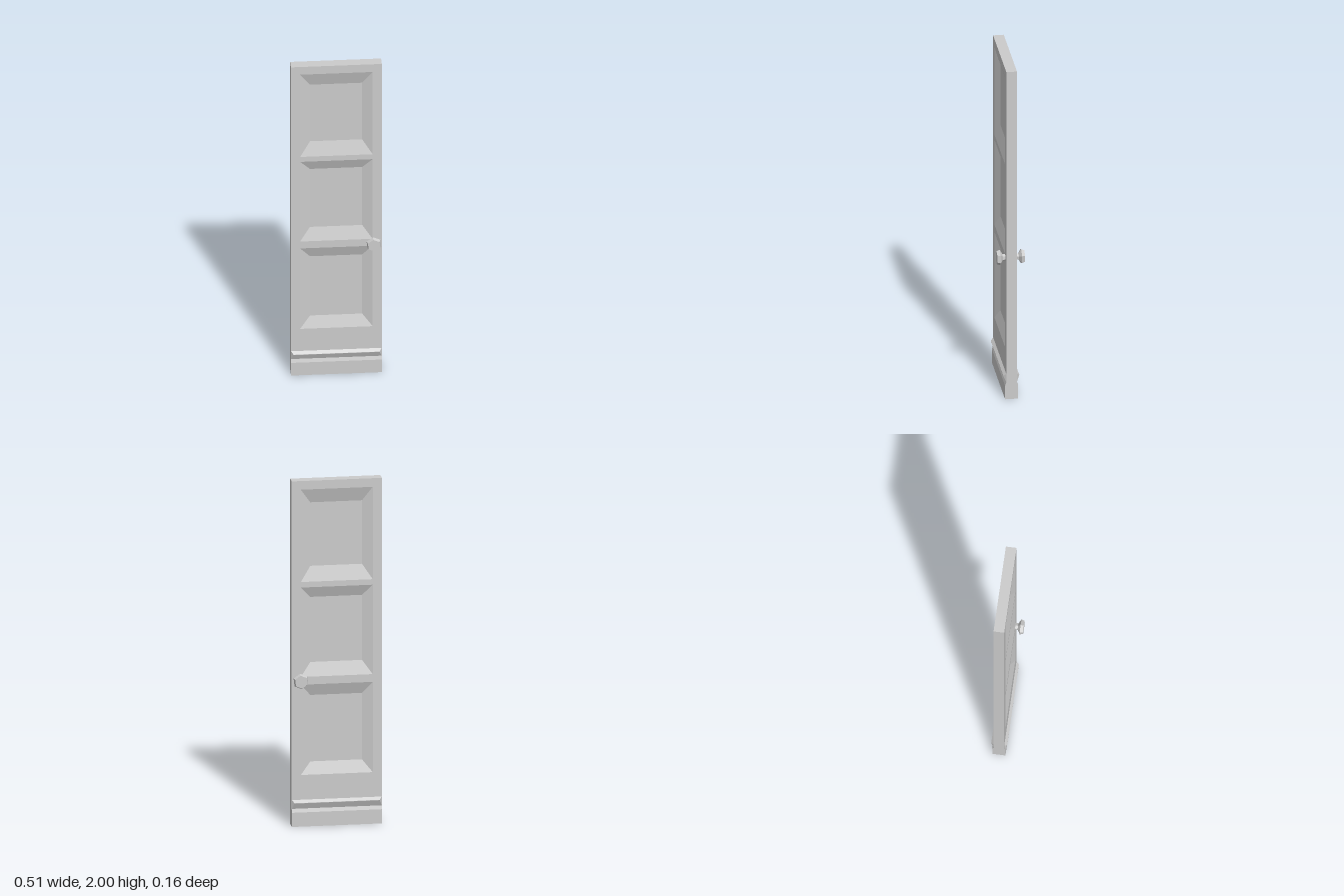
import * as THREE from 'three';

const W = 0.2545, T = 0.03, H = 2, BASE = 0.1; // half width, half thickness, height, slab bottom
const material = new THREE.MeshStandardMaterial({ color: 0xcccccc, flatShading: true });

function part(name, geometry) {
  const mesh = new THREE.Mesh(geometry, material);
  mesh.name = name;
  return mesh;
}

// Corners of a rectangle, counter-clockwise
function rect(x, y0, y1, z) {
  return [[-x, y0, z], [x, y0, z], [x, y1, z], [-x, y1, z]];
}

// Four sloping sides from an outer rectangle to an inner one, plus the inner face
function slopedPanel(outer, inner) {
  const positions = [];
  const quad = (a, b, c, d) => positions.push(...a, ...b, ...c, ...a, ...c, ...d);
  for (let i = 0; i < 4; i++) {
    const j = (i + 1) % 4;
    quad(outer[i], outer[j], inner[j], inner[i]);
  }
  quad(...inner);
  const geometry = new THREE.BufferGeometry();
  geometry.setAttribute('position', new THREE.Float32BufferAttribute(positions, 3));
  geometry.computeVertexNormals();
  return geometry;
}

// outer bottom, outer top, inner bottom, inner top of each recess
const panels = [
  [1.415, 1.95, 1.5, 1.868],
  [0.865, 1.383, 0.943, 1.32],
  [0.297, 0.82, 0.367, 0.752],
];

function createFace(name, knobX) {
  const face = new THREE.Group();
  face.name = name;

  // Flat frame with openings for the recesses
  const toPoints = (r) => r.map(([x, y]) => new THREE.Vector2(x, y));
  const shape = new THREE.Shape(toPoints(rect(W, BASE, H, 0)));
  for (const [y0, y1] of panels) shape.holes.push(new THREE.Path(toPoints(rect(0.203, y0, y1, 0))));
  face.add(part('frame', new THREE.ShapeGeometry(shape).translate(0, 0, T)));

  // Recessed panels with sloping borders
  for (const [y0, y1, i0, i1] of panels) {
    face.add(part('recessedPanel', slopedPanel(rect(0.203, y0, y1, T), rect(0.146, i0, i1, T - 0.025))));
  }

  // Ridge moulding above the base
  face.add(part('moulding', slopedPanel(rect(0.253, 0.103, 0.154, T), rect(0.241, 0.137, 0.139, 0.045))));

  // Six-sided knob on a short stem
  const profile = [[0.019, T], [0.019, 0.045], [0.045, 0.06], [0.038, 0.078], [0, 0.078]]
    .map(([r, z]) => new THREE.Vector2(r, z));
  const knob = part('knob', new THREE.LatheGeometry(profile, 6, 0.12).rotateX(Math.PI / 2));
  knob.position.set(knobX, 0.848, 0);
  face.add(knob);
  return face;
}

export function createModel() {
  const door = new THREE.Group();
  door.name = 'door';
  const body = new THREE.Group();
  body.name = 'body';
  body.position.z = -0.002;
  door.add(body);

  // Narrow edges of the slab: a box without its front and back faces
  const edges = new THREE.BoxGeometry(2 * W, H - BASE, 2 * T);
  edges.translate(0, (H + BASE) / 2, 0);
  edges.setIndex([...edges.index.array.slice(0, 24)]);
  edges.clearGroups();
  body.add(part('slabEdges', edges));

  // Thicker base with a sloping top, extruded across the width
  const profile = [[-0.037, 0], [0.037, 0], [0.037, 0.082], [T, 0.103], [-T, 0.103], [-0.037, 0.082]];
  const baseShape = new THREE.Shape(profile.map(([z, y]) => new THREE.Vector2(z, y)));
  const base = new THREE.ExtrudeGeometry(baseShape, { depth: 2 * W, bevelEnabled: false });
  base.translate(0, 0, -W).rotateY(Math.PI / 2);
  body.add(part('base', base));

  // Both faces match; the back one is turned around
  const back = createFace('backFace', -0.207);
  back.rotation.y = Math.PI;
  body.add(createFace('frontFace', 0.208), back);
  return door;
}
